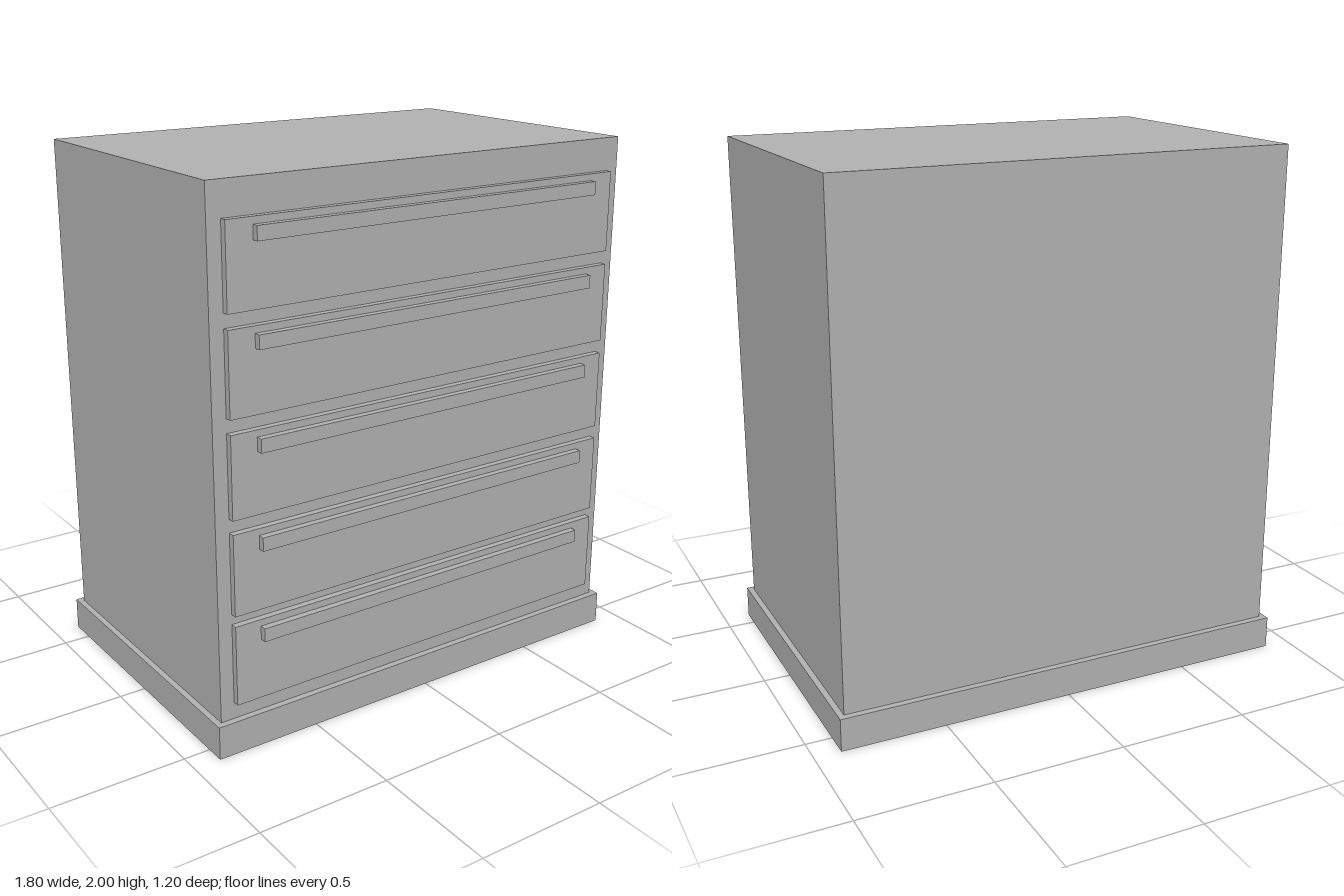
import * as THREE from 'three';

export function createModel() {
  const model = new THREE.Group();
  model.name = 'chestOfDrawers';
  const grey = new THREE.MeshStandardMaterial({ color: 0xb2b2b2 });
  grey.name = 'grey';

  // Box given by its width, its bottom and top, and its back and front
  function addBox(parent, name, width, y0, y1, z0, z1) {
    const mesh = new THREE.Mesh(new THREE.BoxGeometry(width, y1 - y0, z1 - z0), grey);
    mesh.position.set(0, (y0 + y1) / 2, (z0 + z1) / 2);
    mesh.name = name;
    parent.add(mesh);
  }

  // Plinth and cabinet body
  addBox(model, 'plinth', 1.8, 0, 0.125, -0.6, 0.575);
  addBox(model, 'cabinet', 1.755, 0.125, 2, -0.575, 0.55);

  // Drawers, each with a long bar handle just below its top edge
  [1.878, 1.527, 1.176, 0.826, 0.488].forEach((top, i) => {
    const drawer = new THREE.Group();
    drawer.name = `drawer${i + 1}`;
    addBox(drawer, 'drawerFront', 1.65, top - 0.3, top, 0.55, 0.575);
    addBox(drawer, 'handle', 1.45, top - 0.075, top - 0.025, 0.575, 0.6);
    model.add(drawer);
  });

  return model;
}
